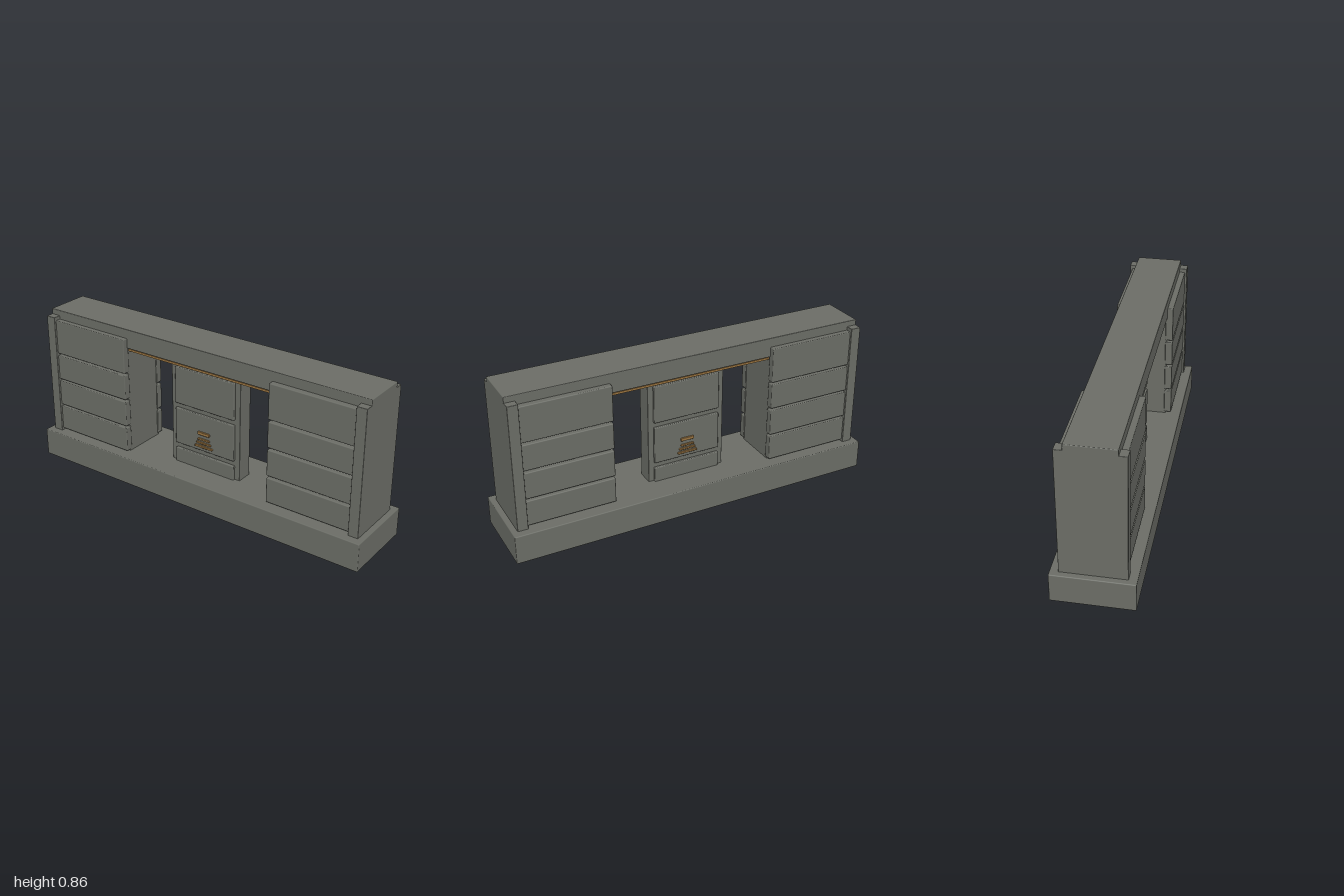
import * as THREE from 'three';
import { RoundedBoxGeometry } from 'three/addons/geometries/RoundedBoxGeometry.js';

export function createModel() {
  const model = new THREE.Group();
  model.name = 'counterWall';

  const mat = (name, color) => {
    const m = new THREE.MeshStandardMaterial({ color });
    m.name = name;
    return m;
  };
  const stone = mat('greyStone', 0x6b6d66);
  const dark = mat('darkCore', 0x1c2224);
  const gold = mat('bronze', 0x9a7440);

  // Box given by its limits; a radius softens the edges
  function block(parent, name, material, [x0, x1], [y0, y1], [z0, z1], radius = 0) {
    const w = x1 - x0, h = y1 - y0, d = z1 - z0;
    const geometry = radius
      ? new RoundedBoxGeometry(w, h, d, 1, radius)
      : new THREE.BoxGeometry(w, h, d);
    const mesh = new THREE.Mesh(geometry, material);
    mesh.name = name;
    mesh.position.set((x0 + x1) / 2, (y0 + y1) / 2, (z0 + z1) / 2);
    parent.add(mesh);
    return mesh;
  }

  // Plinth and top beam
  block(model, 'plinth', stone, [-1, 1], [0, 0.155], [-0.205, 0.205], 0.005);
  block(model, 'topBeam', stone, [-0.97, 0.97], [0.755, 0.86], [-0.122, 0.122], 0.004);

  // Thin bronze rails hung under the beam
  for (const z of [-0.1, 0.1]) {
    block(model, 'bronzeRail', gold, [-0.46, 0.46], [0.734, 0.745], [z - 0.005, z + 0.005]);
  }

  // End towers, one at each end: a dark core clad in planks, posts and side walls
  const planks = [[0.165, 0.302], [0.314, 0.457], [0.469, 0.608], [0.62, 0.81]];
  for (const side of [1, -1]) {
    const tower = new THREE.Group();
    tower.name = side > 0 ? 'leftTower' : 'rightTower';
    const span = (a, b) => (side > 0 ? [a, b] : [-b, -a]);

    block(tower, 'core', dark, span(0.456, 0.96), [0.15, 0.75], [-0.118, 0.118]);
    block(tower, 'innerWall', stone, span(0.45, 0.458), [0.15, 0.757], [-0.12, 0.12]);
    block(tower, 'outerWall', stone, span(0.915, 0.97), [0.15, 0.83], [-0.121, 0.121]);
    block(tower, 'footPlate', dark, span(0.45, 0.97), [-0.001, 0.003], [-0.115, 0.115]);

    for (const face of [1, -1]) {
      const depth = (a, b) => (face > 0 ? [a, b] : [-b, -a]);
      block(tower, 'cornerPost', stone, span(0.915, 0.97), [0.15, 0.83], depth(0.115, 0.163), 0.003);
      for (const limits of planks) {
        block(tower, 'plank', stone, span(0.445, 0.92), limits, depth(0.112, 0.152), 0.005);
      }
    }
    model.add(tower);
  }

  // Central pillar with raised panels and a stepped bronze emblem on both faces
  const pillar = new THREE.Group();
  pillar.name = 'centralPillar';
  block(pillar, 'pillarBody', stone, [-0.215, 0.215], [0.15, 0.725], [-0.045, 0.045], 0.004);
  const panels = [[0.15, 0.235], [0.263, 0.468], [0.495, 0.7]];
  const bars = [[0.29, 0.056, 0.012], [0.311, 0.046, 0.011], [0.332, 0.037, 0.011], [0.366, 0.037, 0.018]];
  for (const face of [1, -1]) {
    const depth = (a, b) => (face > 0 ? [a, b] : [-b, -a]);
    for (const limits of panels) {
      block(pillar, 'raisedPanel', stone, [-0.185, 0.185], limits, depth(0.035, 0.059), 0.005);
    }
    for (const [y, half, h] of bars) {
      block(pillar, 'emblemBar', gold, [-half, half], [y - h / 2, y + h / 2], depth(0.05, 0.068), 0.004);
    }
  }
  model.add(pillar);

  return model;
}
